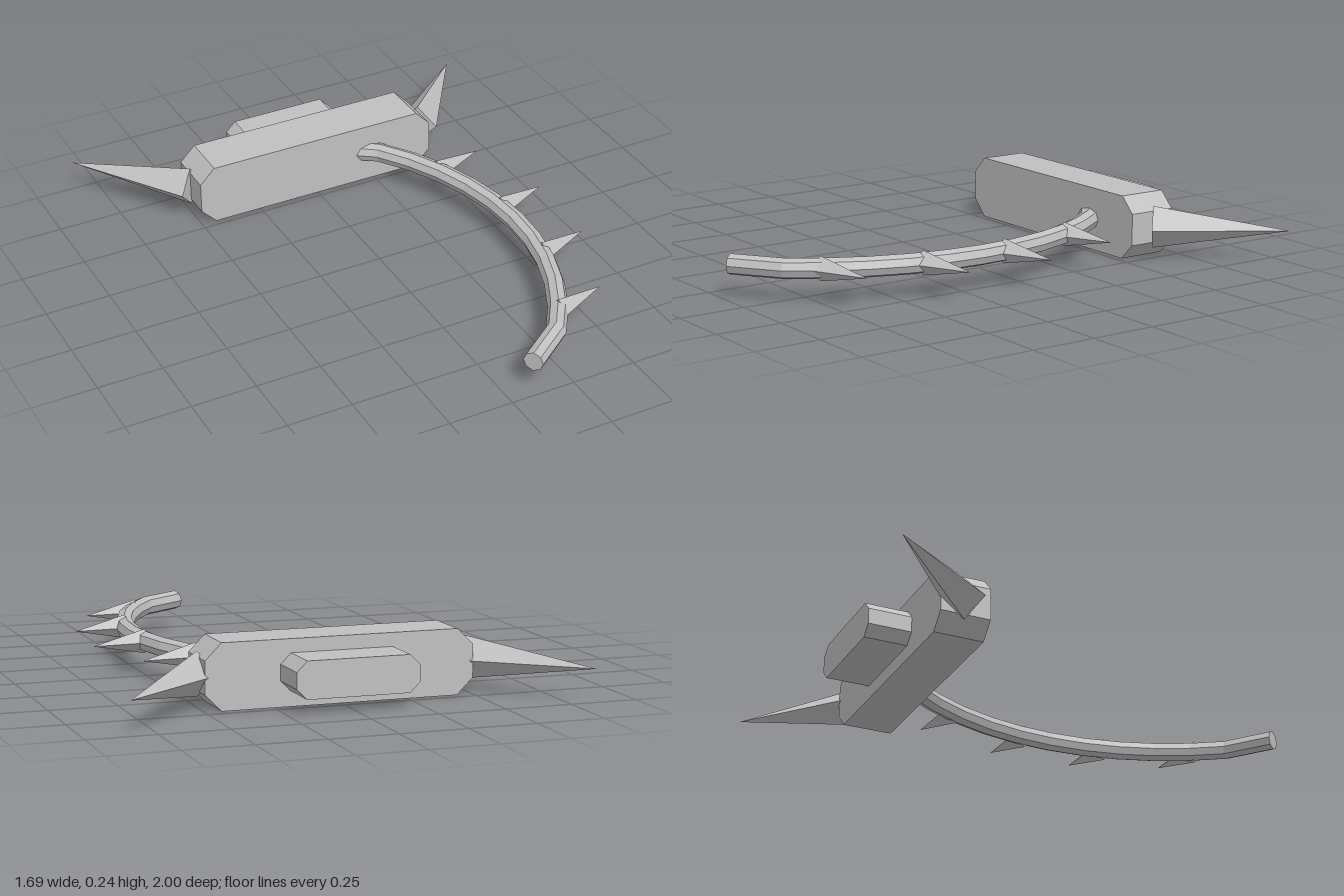
import * as THREE from 'three';

const UP = new THREE.Vector3(0, 1, 0);
const MID_Y = 0.12;

// Faceted normals for every part
function facet(geometry) {
  const g = geometry.index ? geometry.toNonIndexed() : geometry;
  g.computeVertexNormals();
  return g;
}

// Box with its four long edges cut off, running along z
function chamferedBlock(x0, x1, y0, y1, z0, z1, cut) {
  const shape = new THREE.Shape([
    [x0 + cut, y0], [x1 - cut, y0], [x1, y0 + cut], [x1, y1 - cut],
    [x1 - cut, y1], [x0 + cut, y1], [x0, y1 - cut], [x0, y0 + cut],
  ].map(([x, y]) => new THREE.Vector2(x, y)));
  const g = new THREE.ExtrudeGeometry(shape, { depth: z1 - z0, bevelEnabled: false });
  return facet(g.translate(0, 0, z0));
}

// Four-sided spike lying flat, from base (x, z) to tip (x, z), one corner up
function spike(bx, bz, tx, tz, radius) {
  const base = new THREE.Vector3(bx, MID_Y, bz);
  const dir = new THREE.Vector3(tx, MID_Y, tz).sub(base);
  const length = dir.length();
  dir.normalize();
  const g = new THREE.ConeGeometry(radius, length, 4).translate(0, length / 2, 0);
  const side = dir.clone().cross(UP);
  g.applyMatrix4(new THREE.Matrix4().makeBasis(side, dir, UP).setPosition(base));
  return facet(g);
}

// Eight-sided rod bent along a flat path
function bentRod(path, radius) {
  const rows = path.length - 1;
  const g = new THREE.CylinderGeometry(radius, radius, 1, 8, rows);
  const pos = g.attributes.position;
  for (let i = 0; i < pos.count; i++) {
    const row = Math.round((pos.getY(i) + 0.5) * rows);
    const p = path[row];
    const t = path[Math.min(row + 1, rows)].clone().sub(path[Math.max(row - 1, 0)]).normalize();
    const side = pos.getX(i);
    pos.setXYZ(i, p.x - t.y * side, MID_Y + pos.getZ(i), p.y + t.x * side);
  }
  return facet(g);
}

export function createModel() {
  const model = new THREE.Group();
  const grey = new THREE.MeshStandardMaterial({ color: 0xc0c0c0 });
  const add = (name, geometry) => {
    const mesh = new THREE.Mesh(geometry, grey);
    mesh.name = name;
    model.add(mesh);
  };
  grey.name = 'grey metal';

  // Guard block and the smaller block behind it
  add('body', chamferedBlock(-0.5, 0.5, 0, 0.24, -0.715, -0.525, 0.06));
  add('backBlock', chamferedBlock(-0.23, 0.225, 0.055, 0.19, -0.88, -0.71, 0.038));

  // Horns at both ends of the body
  for (const s of [1, -1]) {
    add(s > 0 ? 'leftHorn' : 'rightHorn', spike(s * 0.5, -0.625, s * 0.845, -1, 0.08));
  }

  // Curved rod: a circular arc with a straight piece at each end
  const R = 1.105, midZ = 0.17, halfAngle = 0.657, steps = 10;
  const arcX = (dz) => 0.495 - R + Math.sqrt(R * R - dz * dz);
  const path = [new THREE.Vector2(0.1, -0.625)];
  for (let i = 0; i <= steps; i++) {
    const dz = R * Math.sin(halfAngle * (2 * i / steps - 1));
    path.push(new THREE.Vector2(arcX(dz), midZ + dz));
  }
  path.push(new THREE.Vector2(0.1, 0.965));
  add('curvedRod', bentRod(path, 0.038));

  // Thorns along the outside of the rod
  for (let i = 0; i < 4; i++) {
    const z = -0.28 + i * 0.34;
    const x = arcX(z - midZ);
    add('thorn' + (i + 1), spike(x, z, x + 0.212, z - 0.055, 0.046));
  }

  return model;
}
